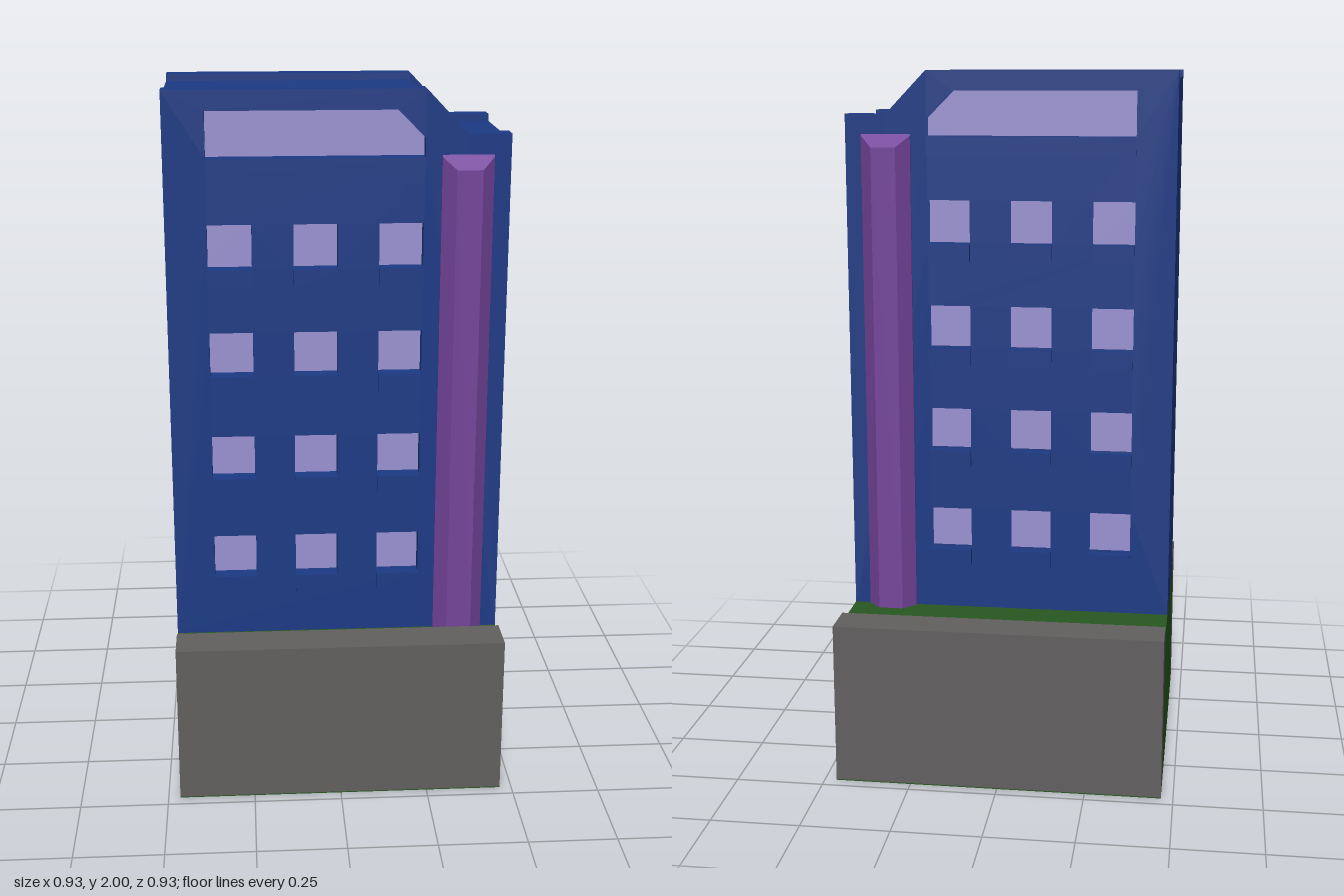
import * as THREE from 'three';

const paint = (color) => new THREE.MeshStandardMaterial({ color, flatShading: true });
const blue = paint(0x1c3a85), purple = paint(0x74449a), lilac = paint(0x9a92d2);
const green = paint(0x285820), grey = paint(0x625f5f);

const HALF = 0.466;      // half width
const MID = 0.0575;      // z of the tower's centre
const DEPTH = 0.2325;    // half depth of the tower
const WALL = 0.056;      // facade thickness
const RECESS = 0.035;    // window recess
const BASE = 0.44;       // ground level on the plinth

function add(parent, name, geometry, material, x = 0, y = 0, z = 0) {
  const mesh = new THREE.Mesh(geometry, material);
  mesh.name = name;
  mesh.position.set(x, y, z);
  parent.add(mesh);
  return mesh;
}

function box(parent, name, material, x0, x1, y0, y1, z0, z1) {
  const geometry = new THREE.BoxGeometry(Math.abs(x1 - x0), y1 - y0, z1 - z0);
  return add(parent, name, geometry, material, (x0 + x1) / 2, (y0 + y1) / 2, (z0 + z1) / 2);
}

const points = (list, side = 1) => list.map(([x, y]) => new THREE.Vector2(x * side, y));
const extrude = (shape, depth) => new THREE.ExtrudeGeometry(shape, { depth, bevelEnabled: false });

// Tower outline with the sloped step at its right shoulder
const outline = (drop) => [
  [-HALF, BASE], [HALF, BASE], [HALF, 1.88 - drop],
  [0.35, 1.88 - drop], [0.235, 2 - drop], [-HALF, 2 - drop],
];

// Window outlines: a 3 x 4 grid and a wide one with a clipped corner
const windows = [[[-0.353, 1.82], [0.235, 1.82], [0.235, 1.87], [0.16, 1.945], [-0.353, 1.945]]];
for (const y of [0.62, 0.92, 1.22, 1.52]) {
  for (const x of [-0.353, -0.12, 0.113]) {
    windows.push([[x, y], [x + 0.12, y], [x + 0.12, y + 0.122], [x, y + 0.122]]);
  }
}

// Half-octagonal pilaster with a sloping top, standing against z = 0
function pilasterGeometry(side) {
  const out = 0.044, height = 1.825 - BASE;
  const section = [[0.28, 0], [0.28, -0.006], [0.315, -out], [0.385, -out], [0.42, -0.006], [0.42, 0]];
  const geometry = extrude(new THREE.Shape(points(section, side)), height).rotateX(-Math.PI / 2);
  const p = geometry.attributes.position;
  for (let i = 0; i < p.count; i++) {
    if (p.getY(i) > height / 2) p.setY(i, height - 0.035 * p.getZ(i) / out);
  }
  geometry.computeVertexNormals();
  return geometry;
}

// One facade; side -1 mirrors x so the back lines up with the front once turned
function facade(side) {
  const group = new THREE.Group();
  group.name = side > 0 ? 'frontFacade' : 'backFacade';
  const wall = new THREE.Shape(points(outline(0), side));
  for (const w of windows) wall.holes.push(new THREE.Path(points(w, side)));
  add(group, 'facadeWall', extrude(wall, WALL), blue, 0, 0, DEPTH - WALL);
  for (const w of windows) {
    const pane = new THREE.ShapeGeometry(new THREE.Shape(points(w, side)));
    add(group, 'windowPane', pane, lilac, 0, 0, DEPTH - RECESS);
    const [[x0, y], [x1]] = w;
    box(group, 'windowSill', blue, x0 * side, x1 * side, y - 0.05, y, DEPTH - 0.01, DEPTH + 0.013);
  }
  add(group, 'pilaster', pilasterGeometry(side), purple, 0, BASE, DEPTH);
  if (side < 0) group.rotation.y = Math.PI;
  return group;
}

export function createModel() {
  const model = new THREE.Group();
  model.name = 'towerBlock';

  // Plinth: lawn between two low walls, on a thin green underside
  box(model, 'lawn', green, -HALF, HALF, 0, BASE, -0.35, 0.35);
  box(model, 'underside', green, -HALF, HALF, 0, 0.003, -0.466, 0.466);
  box(model, 'frontPlinthWall', grey, -HALF, HALF, 0.003, 0.467, 0.35, 0.466);
  box(model, 'backPlinthWall', grey, -HALF, HALF, 0.003, 0.467, -0.466, -0.35);

  // Tower: core with a slightly sunken roof between the two facades
  const tower = new THREE.Group();
  tower.name = 'tower';
  tower.position.z = MID;
  const inner = DEPTH - WALL;
  add(tower, 'core', extrude(new THREE.Shape(points(outline(0.02))), 2 * inner), blue, 0, 0, -inner);
  tower.add(facade(1), facade(-1));
  model.add(tower);
  return model;
}
